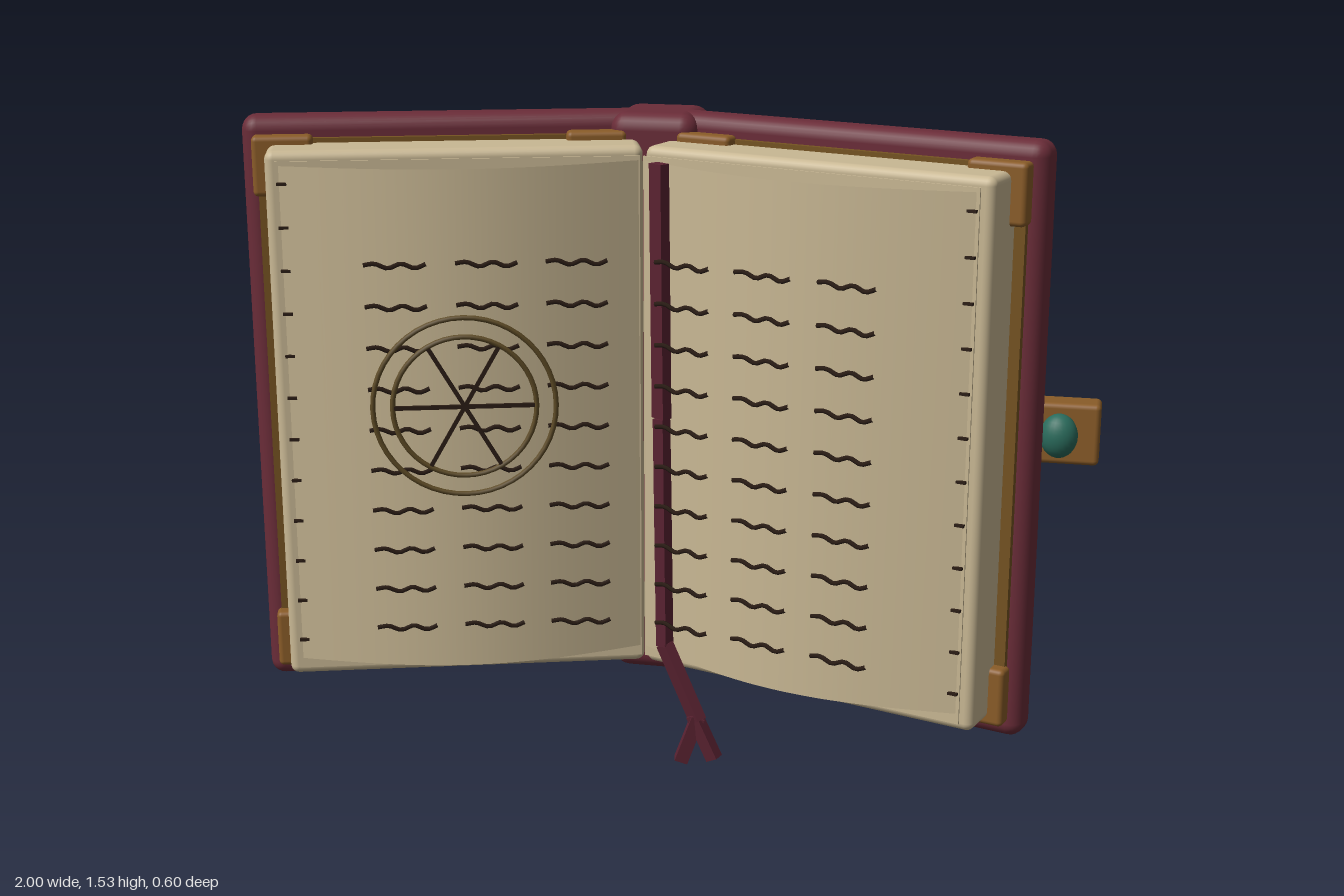
import * as THREE from 'three';
import { RoundedBoxGeometry } from 'three/addons/geometries/RoundedBoxGeometry.js';

const mat = (name, color, side = THREE.FrontSide) => {
  const m = new THREE.MeshStandardMaterial({ color, side });
  m.name = name;
  return m;
};

export function createModel() {
  const leather = mat('leather', 0x6a2c38);
  const paper = mat('paper', 0xc9b894, THREE.DoubleSide);
  const brass = mat('brass', 0x8a5c28);
  const trim = mat('trim', 0x755321);
  const seal = mat('seal', 0x5f4c26);
  const ink = mat('ink', 0x2a1c14);
  const ribbonRed = mat('ribbon', 0x5a2231);
  const jewel = mat('jewel', 0x2a6b5c);

  const book = new THREE.Group();
  book.name = 'openBook';

  const add = (parent, name, geo, material, x = 0, y = 0, z = 0) => {
    const m = new THREE.Mesh(geo, material);
    m.name = name;
    m.position.set(x, y, z);
    parent.add(m);
    return m;
  };
  // Box given by its limits on each axis, optionally rounded
  const block = (parent, name, material, [x0, x1], [y0, y1], [z0, z1], r = 0) => {
    const size = [Math.abs(x1 - x0), y1 - y0, z1 - z0];
    const geo = r ? new RoundedBoxGeometry(...size, 3, r) : new THREE.BoxGeometry(...size);
    return add(parent, name, geo, material, (x0 + x1) / 2, (y0 + y1) / 2, (z0 + z1) / 2);
  };
  // Straight bar between two points
  const bar = (parent, name, material, a, b, w, d = w) => {
    const p = new THREE.Vector3(...a), q = new THREE.Vector3(...b);
    const dir = q.clone().sub(p);
    const m = add(parent, name, new THREE.BoxGeometry(w, dir.length(), d), material);
    m.position.copy(p).add(q).multiplyScalar(0.5);
    m.quaternion.setFromUnitVectors(new THREE.Vector3(0, 1, 0), dir.normalize());
    return m;
  };

  // Spine with raised pegs showing on both sides
  const cx = -0.065, tilt = Math.PI / 10;
  block(book, 'spine', leather, [cx - 0.105, cx + 0.105], [0.14, 1.53], [-0.31, -0.1], 0.04);
  for (const y of [0.25, 0.435, 0.835, 1.235, 1.42]) {
    block(book, 'spinePeg', brass, [cx - 0.13, cx + 0.13], [y - 0.02, y + 0.02], [-0.28, -0.225], 0.012);
  }

  // Wavy line of writing, shared by both pages
  const wave = [-0.07, -0.045, -0.015, 0.015, 0.045, 0.07].map(
    (x, i) => new THREE.Vector3(x, [0.003, 0.006, -0.005, 0.005, -0.006, 0.003][i], 0));
  const writing = new THREE.TubeGeometry(new THREE.CatmullRomCurve3(wave), 14, 0.0055, 5);

  // One half of the book: x runs away from the spine, +z is the inner face
  for (const s of [-1, 1]) {
    const half = new THREE.Group();
    half.name = s > 0 ? 'leftHalf' : 'rightHalf';
    half.position.set(cx, 0, -0.21);
    half.rotation.y = -s * tilt;
    book.add(half);

    block(half, 'cover', leather, [s * 0.03, s * 0.98], [0.14, 1.53], [-0.045, 0.045], 0.035);
    block(half, 'lining', trim, [s * 0.1, s * 0.945], [0.19, 1.48], [0.04, 0.06]);
    block(half, 'pageBlock', paper, [s * 0.06, s * 0.92], [0.2, 1.47], [0.045, 0.185], 0.02);
    block(half, 'flatPage', paper, [s * 0.07, s * 0.895], [0.225, 1.45], [0.199, 0.203]);

    // Inner corner fittings
    for (const u of [[0.09, 0.23], [0.815, 0.955]])
      for (const y of [[0.185, 0.325], [1.35, 1.49]])
        block(half, 'cornerFitting', brass, u.map((v) => s * v), y, [0.045, 0.092], 0.012);

    // Open page bulging forward between spine and outer edge
    const sheet = new THREE.PlaneGeometry(0.82, 1.19, 28, 1);
    const p = sheet.attributes.position;
    for (let i = 0; i < p.count; i++) {
      const t = p.getX(i) / 0.82 + 0.5;
      p.setZ(i, 0.202 + 0.085 * Math.sin(Math.PI * t));
    }
    sheet.computeVertexNormals();
    add(half, 'curvedPage', sheet, paper, s * 0.48, 0.845, 0);

    // Lines of writing and edge ticks
    for (let row = 0; row < 10; row++)
      for (const u of [0.223, 0.427, 0.633])
        add(half, 'writing', writing, ink, s * u, 1.225 - row * 0.0968, 0.292);
    for (let i = 0; i < 12; i++) {
      const y = 0.3 + i * 0.1;
      block(half, 'edgeTick', ink, [s * 0.87, s * 0.892], [y - 0.003, y + 0.003], [0.205, 0.214]);
    }

    // Outer border, ring and star
    const [u0, u1, y0, y1, t] = [0.13, 0.925, 0.205, 1.465, 0.009];
    for (const y of [y0, y1])
      block(half, 'coverBorder', trim, [s * (u0 - t), s * (u1 + t)], [y - t, y + t], [-0.054, -0.04]);
    for (const u of [u0, u1])
      block(half, 'coverBorder', trim, [s * (u - t), s * (u + t)], [y0, y1], [-0.054, -0.04]);
    add(half, 'coverRing', new THREE.TorusGeometry(0.248, 0.013, 8, 48), trim, s * 0.5, 0.84, -0.05);
    const tip = (k) => {
      const a = Math.PI / 2 + (k * 4 * Math.PI) / 5;
      return [s * 0.5 + 0.185 * Math.cos(a), 0.84 + 0.185 * Math.sin(a), -0.05];
    };
    for (let k = 0; k < 5; k++) bar(half, 'coverStar', trim, tip(k), tip(k + 1), 0.014);

    // Drawn circle with spokes on one page
    if (s < 0) {
      const [x, y, z] = [-0.484, 0.893, 0.297];
      for (const r of [0.21, 0.165])
        add(half, 'drawnRing', new THREE.TorusGeometry(r, 0.006, 6, 48), seal, x, y, z);
      for (let k = 0; k < 3; k++) {
        const a = (k * Math.PI) / 3, dx = 0.168 * Math.cos(a), dy = 0.168 * Math.sin(a);
        bar(half, 'drawnSpoke', ink, [x - dx, y - dy, z], [x + dx, y + dy, z], 0.009, 0.008);
      }
    }
  }

  // Ribbon bookmark with a forked tail
  const path = [[-0.01, 1.445, 0.07], [-0.004, 0.85, 0.072], [0.006, 0.29, 0.085], [0.095, 0.115, 0.12]];
  for (let i = 0; i < 3; i++) bar(book, 'ribbon', ribbonRed, path[i], path[i + 1], 0.04, 0.026);
  bar(book, 'ribbonTail', ribbonRed, [0.095, 0.125, 0.12], [0.054, 0.01, 0.125], 0.032, 0.026);
  bar(book, 'ribbonTail', ribbonRed, [0.085, 0.13, 0.12], [0.137, 0.025, 0.13], 0.032, 0.026);

  // Clasp with a round jewel
  block(book, 'clasp', brass, [0.81, 0.997], [0.765, 0.91], [-0.103, -0.03], 0.012);
  add(book, 'claspJewel', new THREE.SphereGeometry(1, 24, 16), jewel, 0.905, 0.837, -0.02).scale.set(0.043, 0.052, 0.036);

  return book;
}
